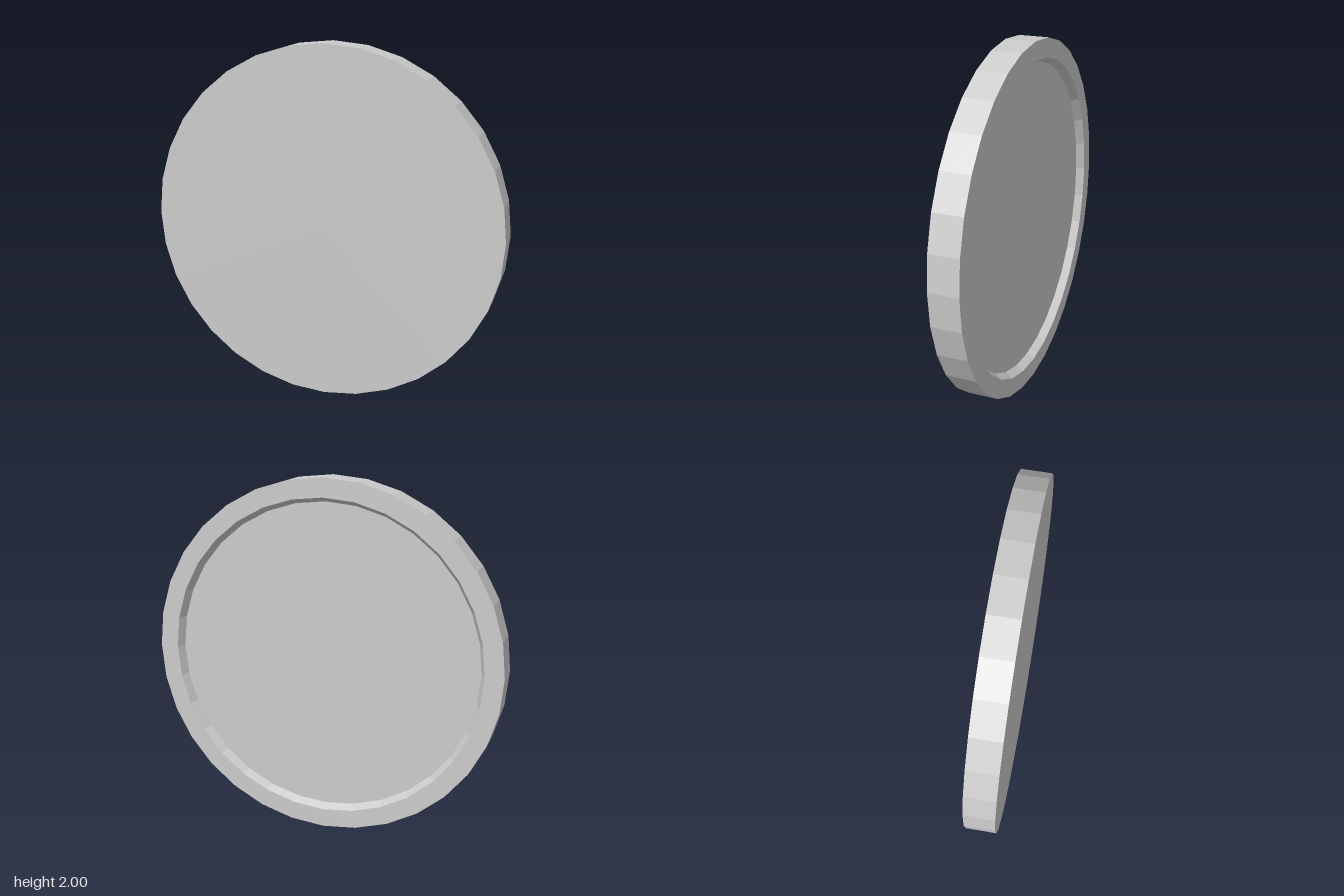
import * as THREE from 'three';

const SIDES = 32, RADIUS = 1, HALF_DEPTH = 0.084;
const RIM_INNER = 0.895, FLOOR_RADIUS = 0.87, RECESS = 0.045;

export function createModel() {
  const group = new THREE.Group();
  group.name = 'recessedDisc';

  const material = new THREE.MeshStandardMaterial({ color: 0xcccccc, flatShading: true });

  // Closed half-section: recessed back floor, sloped recess wall, rim, outer wall, flat front
  const profile = [
    [0, RECESS - HALF_DEPTH],
    [FLOOR_RADIUS, RECESS - HALF_DEPTH],
    [RIM_INNER, -HALF_DEPTH],
    [RADIUS, -HALF_DEPTH],
    [RADIUS, HALF_DEPTH],
    [0, HALF_DEPTH],
  ].map(([r, d]) => new THREE.Vector2(r, d));

  // Turn the lathe axis from y to z so the flat face looks forward
  const geometry = new THREE.LatheGeometry(profile, SIDES);
  geometry.rotateX(Math.PI / 2);
  geometry.translate(0, RADIUS, 0);

  const disc = new THREE.Mesh(geometry, material);
  disc.name = 'rimmedDisc';
  group.add(disc);
  return group;
}
